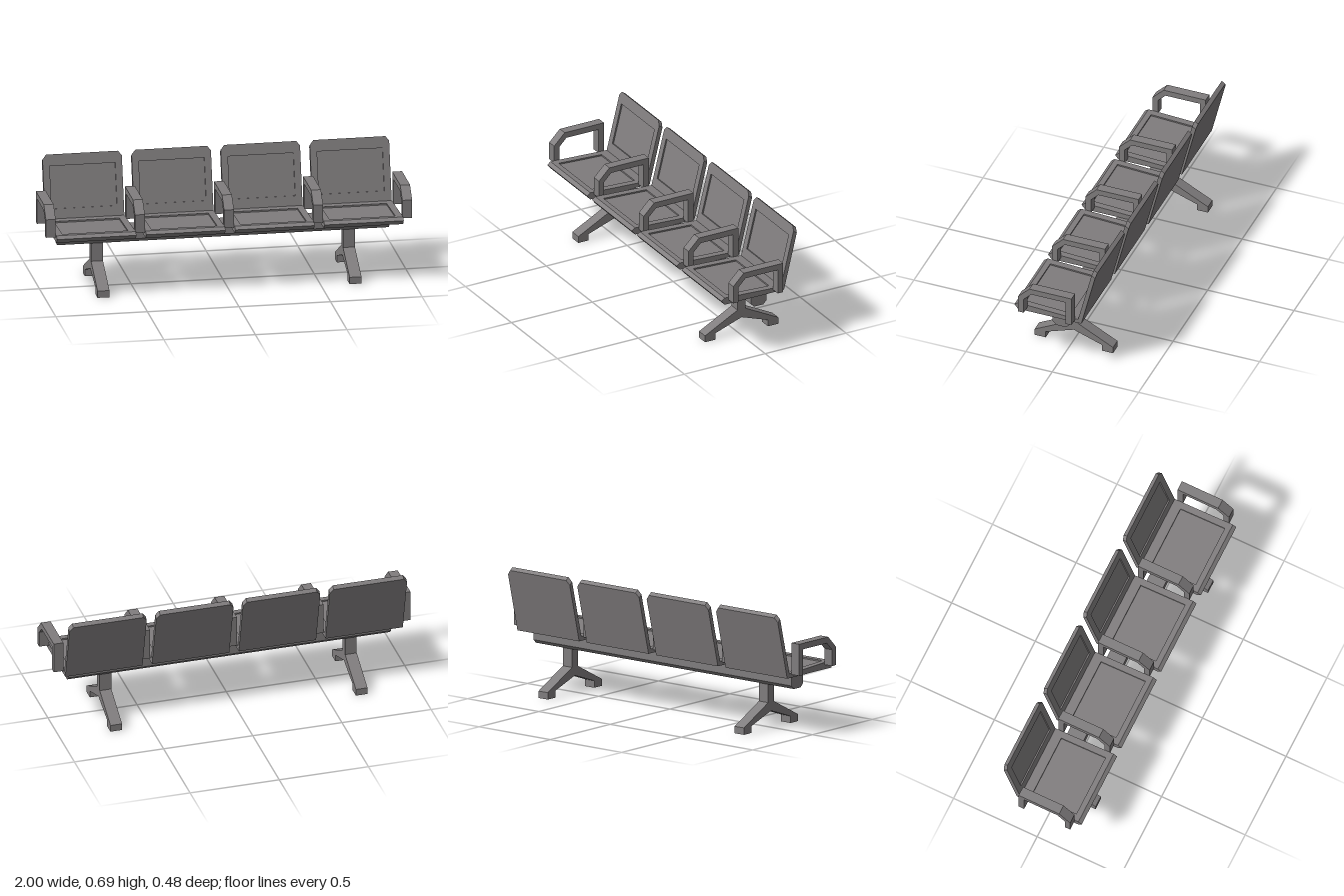
import * as THREE from 'three';
import { mergeGeometries } from 'three/addons/utils/BufferGeometryUtils.js';

const grey = new THREE.MeshStandardMaterial({ color: 0x807d7e });
grey.name = 'warm grey';

// Extrude a side profile of [z, y] points along x, centred on cx
function slab(profile, width, cx = 0) {
  const shape = new THREE.Shape(profile.map(([z, y]) => new THREE.Vector2(z, y)));
  const g = new THREE.ExtrudeGeometry(shape, { depth: width, bevelEnabled: false });
  g.translate(0, 0, -width / 2);
  g.rotateY(-Math.PI / 2);
  g.translate(cx, 0, 0);
  return g;
}

// Seat profile corners
const LIP = [0.24, 0.35], FRONT = [0.22, 0.365], CREASE = [-0.128, 0.348], TOP = [-0.212, 0.686];
const REST = [[-0.232, 0.671], [-0.147, 0.325], [0.22, 0.325]];

// Shallow notch between fractions s and e of the line a-b
function notch(a, b, s, e, depth = 0.008) {
  const dz = b[0] - a[0], dy = b[1] - a[1], len = Math.hypot(dz, dy);
  const n = [-dy / len * depth, dz / len * depth];
  const at = (t, k) => [a[0] + dz * t + n[0] * k, a[1] + dy * t + n[1] * k];
  return [at(s, 0), at(s, 1), at(e, 1), at(e, 0)];
}

function seatGeometry() {
  const half = 0.2165, panel = 0.179, edge = 0.02;
  const full = [LIP, FRONT, CREASE, TOP, ...REST];
  const recessed = [LIP, FRONT, ...notch(FRONT, CREASE, 0.086, 0.848), CREASE,
    ...notch(CREASE, TOP, 0.155, 0.82), TOP, ...REST];
  const parts = [slab(recessed, panel * 2)];
  for (const side of [-1, 1]) {
    // frame beside the recessed panels
    parts.push(slab(full, half - edge - panel, side * (half - edge + panel) / 2));
    // outer strip with a clipped top corner
    const g = slab(full, edge, side * (half - edge / 2));
    const p = g.attributes.position;
    for (let i = 0; i < p.count; i++) {
      if (p.getY(i) > 0.66 && Math.abs(p.getX(i)) > half - edge / 2) {
        p.setY(i, p.getY(i) - 0.0243);
        p.setZ(i, p.getZ(i) + 0.006);
      }
    }
    g.computeVertexNormals();
    parts.push(g);
  }
  return mergeGeometries(parts);
}

const armProfile = [
  [0.197, 0.35], [0.197, 0.451], [0.132, 0.516], [-0.111, 0.516], [-0.111, 0.342],
  [-0.078, 0.342], [-0.078, 0.483], [0.121, 0.483], [0.165, 0.439], [0.165, 0.35],
];
const beamProfile = [
  [0.035, 0.325], [0.035, 0.265], [0.014, 0.245], [-0.042, 0.245], [-0.062, 0.265], [-0.062, 0.325],
];
const legProfile = [
  [0.012, 0.246], [0.012, 0.143], [0.213, 0.038], [0.213, 0], [0.149, 0], [0.149, 0.038],
  [-0.013, 0.095], [-0.176, 0.038], [-0.176, 0], [-0.24, 0], [-0.24, 0.038], [-0.037, 0.143], [-0.037, 0.246],
];

export function createModel() {
  const bench = new THREE.Group();
  bench.name = 'bench';
  const add = (name, geometry, x = 0) => {
    const mesh = new THREE.Mesh(geometry, grey);
    mesh.name = name;
    mesh.position.x = x;
    bench.add(mesh);
  };
  const pitch = 0.4865;

  // four seats with an armrest in every gap and at both ends
  const seat = seatGeometry();
  for (let i = 0; i < 4; i++) add('seat', seat, (i - 1.5) * pitch);
  const arm = slab(armProfile, 0.0535);
  for (let i = 0; i < 5; i++) add('armrest', arm, (i - 2) * pitch);

  // beam carried by two splayed legs
  add('beam', slab(beamProfile, 1.81));
  const leg = slab(legProfile, 0.065);
  for (const side of [-1, 1]) add('leg', leg, side * 0.688);

  return bench;
}
